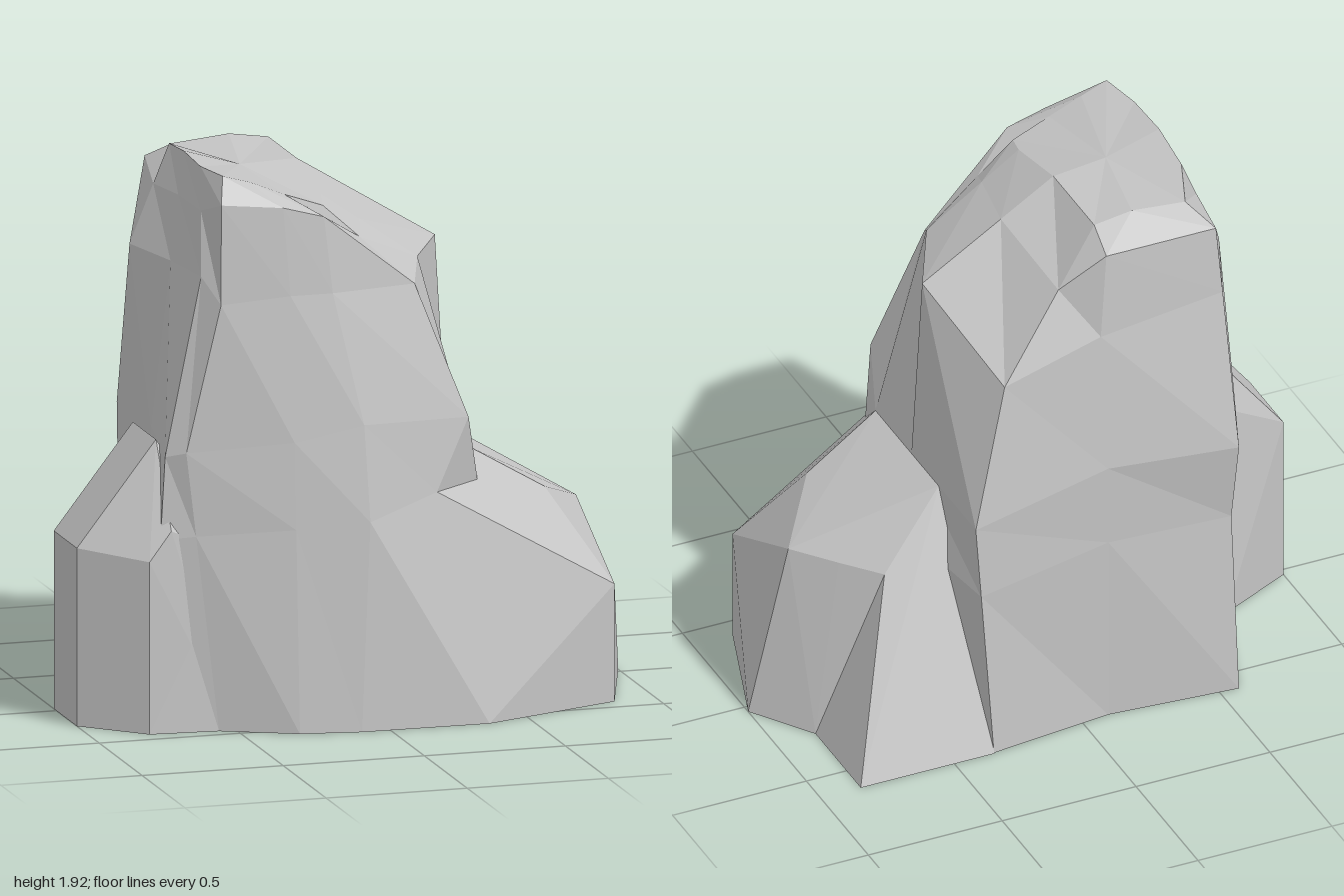
import * as THREE from 'three';
import { ConvexGeometry } from 'three/addons/geometries/ConvexGeometry.js';

const stone = new THREE.MeshStandardMaterial({ color: 0xc4c4c4 });
stone.name = 'grey stone';

// Main cross-sections of the rock, each running right > front > left > back
const ground = [[.6, 0], [.5, .4], [.35, .61], [-.1, .605], [-.31, .57], [-.56, .45],
  [-.8, .43], [-.73, .05], [-.72, -.17], [-.57, -.6], [-.1, -.56], [.35, -.61]].map(([x, z]) => [x, 0, z]);
const waist = [[.39, .88, -.03], [.39, .88, .26], [.33, 1.03, .43], [-.07, 1.05, .53], [-.31, 1, .51], [-.67, .97, .43],
  [-.73, .95, .38], [-.68, .98, .05], [-.71, 1, -.25], [-.57, .98, -.6], [-.1, 1, -.56], [.39, .88, -.55]];
const wall = [[.35, 1.56, -.03], [.2, 1.56, .26], [.16, 1.49, .36], [-.16, 1.5, .46], [-.31, 1.5, .46], [-.55, 1.48, .44],
  [-.59, 1.56, .34], [-.62, 1.56, .08], [-.68, 1.56, -.2], [-.56, 1.55, -.49], [-.1, 1.5, -.5], [.25, 1.38, -.48]];
const crown = [[-.14, 1.86, -.03], [-.14, 1.8, .25], [-.16, 1.78, .34], [-.3, 1.83, .35], [-.42, 1.88, .35], [-.52, 1.91, .36],
  [-.55, 1.91, .2], [-.55, 1.92, 0], [-.54, 1.9, -.2], [-.48, 1.86, -.36], [-.28, 1.88, -.36], [-.14, 1.86, -.36]];

// Point part way from a to b, with its own share for the height
const between = (a, b, t, tHeight = t) => a.map((v, i) => v + (b[i] - v) * (i === 1 ? tHeight : t));

// Joins closed rings into a faceted solid with both ends capped
function loft(sections, bottom, top) {
  const n = sections[0].length;
  const points = [...sections.flat(), bottom, top];
  const b = points.length - 2, t = b + 1, last = (sections.length - 1) * n;
  const index = [];
  for (let j = 0; j < n; j++) {
    const k = (j + 1) % n;
    for (let i = 0; i < last; i += n) {
      index.push(i + j, i + n + j, i + n + k, i + j, i + n + k, i + k);
    }
    index.push(b, j, k, t, last + k, last + j);
  }
  const geometry = new THREE.BufferGeometry();
  geometry.setAttribute('position', new THREE.Float32BufferAttribute(points.flat(), 3));
  geometry.setIndex(index);
  const flat = geometry.toNonIndexed();
  flat.computeVertexNormals();
  return flat;
}

const hull = (points) => new ConvexGeometry(points.map((p) => new THREE.Vector3(...p)));

export function createModel() {
  const group = new THREE.Group();
  group.name = 'rock';
  const add = (name, geometry) => {
    const mesh = new THREE.Mesh(geometry, stone);
    mesh.name = name;
    group.add(mesh);
  };

  // Shoulder above the ground, notched at the front right and the back left corner
  const shoulder = ground.map((p, j) => between(p, waist[j], .7));
  shoulder[2] = [.2, .79, .49];
  shoulder[3] = [-.06, .72, .57];
  shoulder[9] = [-.56, .68, -.56];

  // Rim: steep walls with a bevel at the front and back, straight slopes at the sides
  const rim = wall.map((p, j) => {
    const steep = p[0] < 0 && Math.abs(p[2]) > .4;
    return steep ? between(p, crown[j], .18, .8) : between(p, crown[j], .6);
  });
  add('mainRock', loft([ground, shoulder, waist, wall, rim, crown], [-.1, 0, 0], [-.35, 1.86, 0]));

  // Low block against the -x side
  add('sideBlock', hull([
    [-1, 0, .24], [-1, 0, -.03], [-1, .62, .24], [-1, .62, -.03],
    [-.8, 0, .43], [-.8, .6, .43], [-.72, .7, .42], [-.72, .98, .24], [-.72, .98, -.03],
    [-.73, 0, -.16], [-.72, .8, -.1], [-.5, 0, .42], [-.5, .6, .38],
  ]));

  // Sloping ledge on the +x side
  add('ledge', hull([
    [1, 0, -.03], [.93, 0, .18], [.85, 0, .42], [.85, .41, .42], [.85, .62, -.03],
    [.66, .72, .23], [.73, .62, -.18], [.62, .62, -.31], [.85, 0, -.25],
    [.39, .88, .26], [.39, .88, -.25], [.39, .63, .45], [.2, .79, .49], [.35, 0, .61], [.2, 0, -.2],
  ]));

  // Pointed spur at the back of the ledge
  add('backSpur', hull([
    [.35, 0, -.615], [.85, 0, -.615], [.85, 0, -.25], [.62, .62, -.31],
    [.39, .88, -.25], [.3, 0, -.2],
  ]));

  return group;
}
